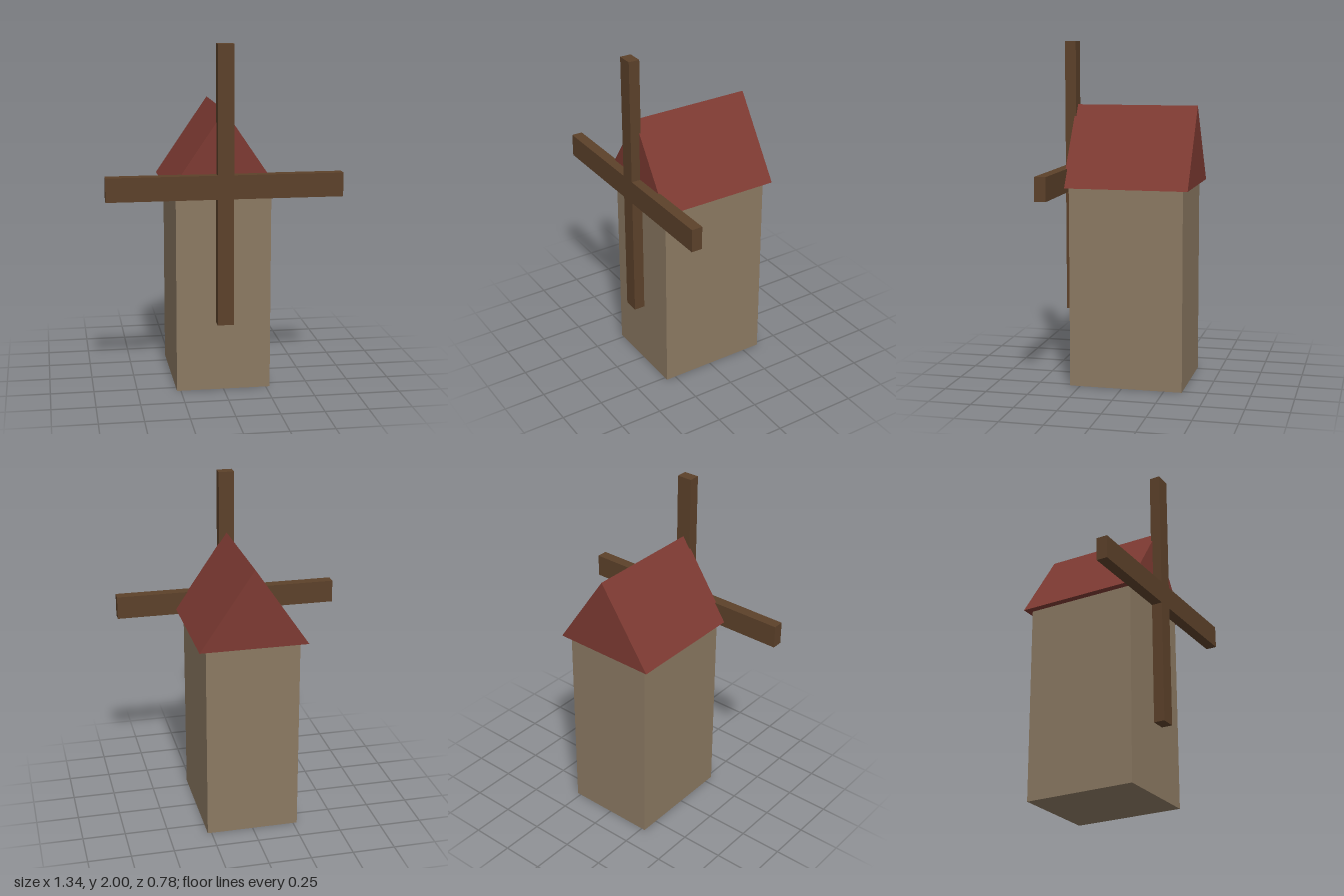
import * as THREE from 'three';

export function createModel() {
  const model = new THREE.Group();
  model.name = 'windmill';
  const paint = (color) => new THREE.MeshStandardMaterial({ color, flatShading: true });
  const stone = paint(0x8b7962), tile = paint(0x7d3a32), wood = paint(0x5c412a);

  const add = (name, geometry, material, x, y, z) => {
    const mesh = new THREE.Mesh(geometry, material);
    mesh.name = name;
    mesh.position.set(x, y, z);
    model.add(mesh);
  };

  // Tower
  add('tower', new THREE.BoxGeometry(0.546, 1.17, 0.665), stone, 0, 0.585, -0.0235);

  // Gabled roof, ridge running front to back
  const gable = new THREE.Shape([
    new THREE.Vector2(-0.315, 0),
    new THREE.Vector2(0.315, 0),
    new THREE.Vector2(0, 0.462),
  ]);
  const roof = new THREE.ExtrudeGeometry(gable, { depth: 0.725, bevelEnabled: false });
  add('roof', roof, tile, 0, 1.17, -0.39);

  // Crossed sails on the front
  add('verticalSail', new THREE.BoxGeometry(0.092, 1.59, 0.065), wood, 0, 1.205, 0.3575);
  add('horizontalSail', new THREE.BoxGeometry(1.34, 0.136, 0.065), wood, 0, 1.207, 0.3575);

  return model;
}
